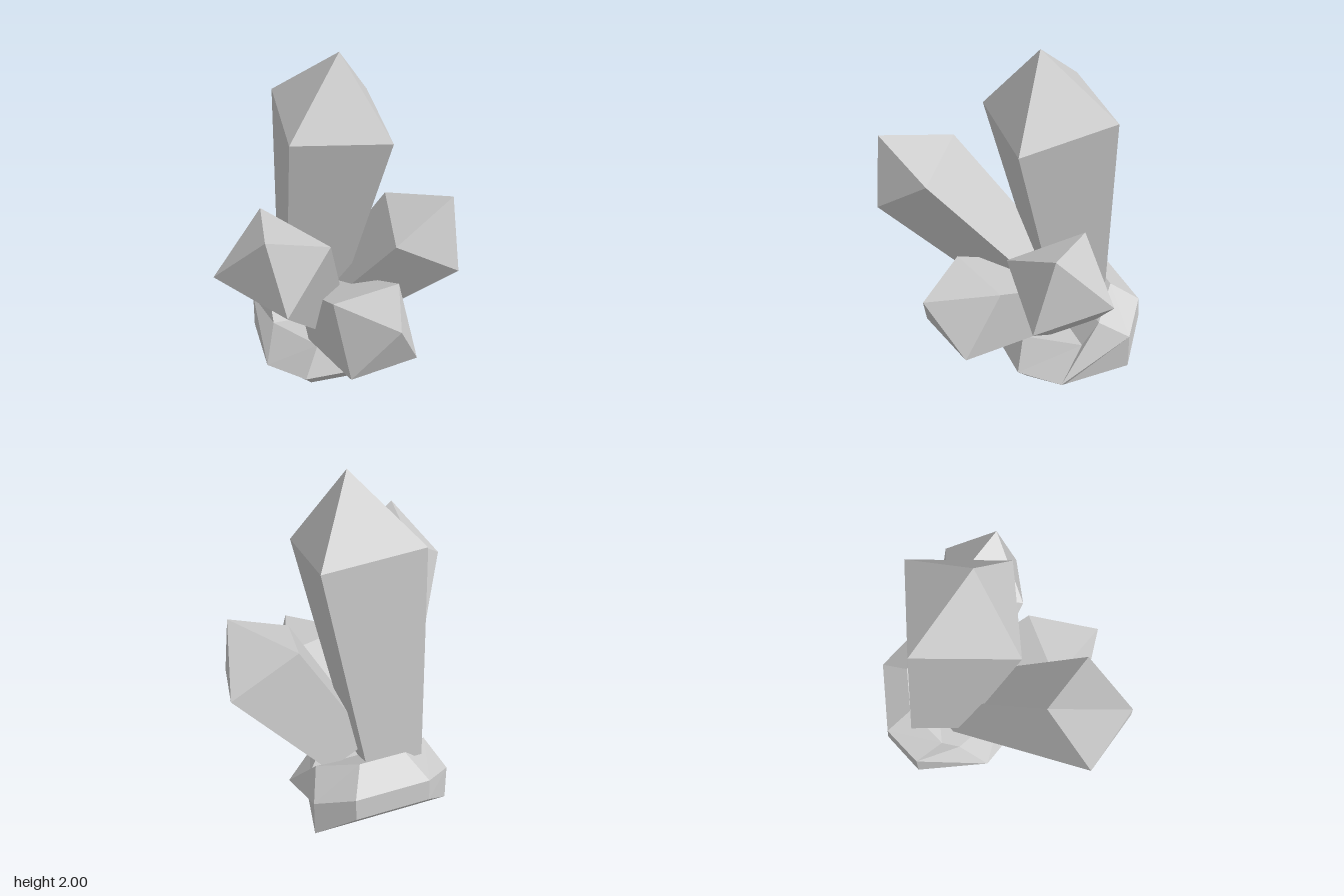
import * as THREE from 'three';

const material = new THREE.MeshStandardMaterial({ color: 0xcccccc, flatShading: true });

// Skins a stack of rings (counter-clockwise from above, bottom to top),
// closing the bottom flat and the top flat or with a pointed tip.
function loft(name, rings, tip) {
  const pos = [];
  const tri = (...points) => points.forEach((p) => pos.push(...p));
  const quad = (a, b, c, d) => { tri(a, b, c); tri(a, c, d); };
  const n = rings[0].length;

  for (let r = 0; r < rings.length - 1; r++) {
    for (let i = 0; i < n; i++) {
      const j = (i + 1) % n;
      quad(rings[r][i], rings[r][j], rings[r + 1][j], rings[r + 1][i]);
    }
  }

  const bottom = rings[0];
  const top = rings[rings.length - 1];
  for (let i = 0; i < n / 2 - 1; i++) {
    quad(bottom[n - 1 - i], bottom[n - 2 - i], bottom[i + 1], bottom[i]);
    if (!tip) quad(top[i], top[i + 1], top[n - 2 - i], top[n - 1 - i]);
  }
  if (tip) for (let i = 0; i < n; i++) tri(top[i], top[(i + 1) % n], tip);

  const geometry = new THREE.BufferGeometry();
  geometry.setAttribute('position', new THREE.Float32BufferAttribute(pos, 3));
  geometry.computeVertexNormals();
  const mesh = new THREE.Mesh(geometry, material);
  mesh.name = name;
  return mesh;
}

// Four-sided crystal: the root is a smaller copy of the shoulder ring.
function crystal(name, { root, taper, shoulder, tip }) {
  const centre = [0, 1, 2].map((k) => shoulder.reduce((s, p) => s + p[k], 0) / 4);
  const base = shoulder.map((p) => p.map((v, k) => root[k] + taper * (v - centre[k])));
  return loft(name, [base, shoulder], tip);
}

// Completes a ring from its +x half, listed front to back.
const mirrored = (half) => [...half, ...half.map(([x, y, z]) => [-x, y, z]).reverse()];

export function createModel() {
  const group = new THREE.Group();
  group.name = 'crystalCluster';

  // Bevelled rock, tilted up towards the back
  group.add(loft('baseRock', [
    mirrored([[0.16, 0, 0.02], [0.31, 0, -0.16], [0.39, 0.09, -0.52], [0.21, 0.28, -0.675]]),
    mirrored([[0.21, 0.1, 0.1], [0.4, 0.1, -0.09], [0.39, 0.31, -0.515], [0.21, 0.41, -0.665]]),
    mirrored([[0.12, 0.28, 0.03], [0.32, 0.28, -0.25], [0.32, 0.415, -0.35], [0.13, 0.51, -0.515]]),
  ]));

  // Tall upright crystal
  group.add(crystal('tallCrystal', {
    root: [-0.08, 0.43, -0.36], taper: 0.58, tip: [0.04, 2, -0.09],
    shoulder: [[-0.27, 1.61, 0.1], [0.27, 1.56, 0.12], [0.29, 1.65, -0.41], [-0.24, 1.7, -0.43]],
  }));

  // Crystal leaning to -x and forward
  group.add(crystal('rightCrystal', {
    root: [-0.06, 0.36, -0.26], taper: 0.6, tip: [-0.51, 1.4, 0.62],
    shoulder: [[-0.73, 1.12, 0.41], [-0.43, 1, 0.68], [-0.16, 1.23, 0.47], [-0.45, 1.35, 0.21]],
  }));

  // Crystal leaning to +x
  group.add(crystal('leftCrystal', {
    root: [0.11, 0.42, -0.24], taper: 0.65, tip: [0.64, 1.18, 0.08],
    shoulder: [[0.28, 0.98, 0.19], [0.65, 0.77, 0.2], [0.72, 0.87, -0.21], [0.35, 1.09, -0.22]],
  }));

  // Short crystal pointing forward
  group.add(crystal('frontCrystal', {
    root: [-0.025, 0.42, -0.14], taper: 0.75, tip: [0.17, 0.75, 0.62],
    shoulder: [[-0.07, 0.43, 0.54], [0.33, 0.42, 0.45], [0.29, 0.77, 0.23], [-0.11, 0.78, 0.33]],
  }));

  return group;
}
